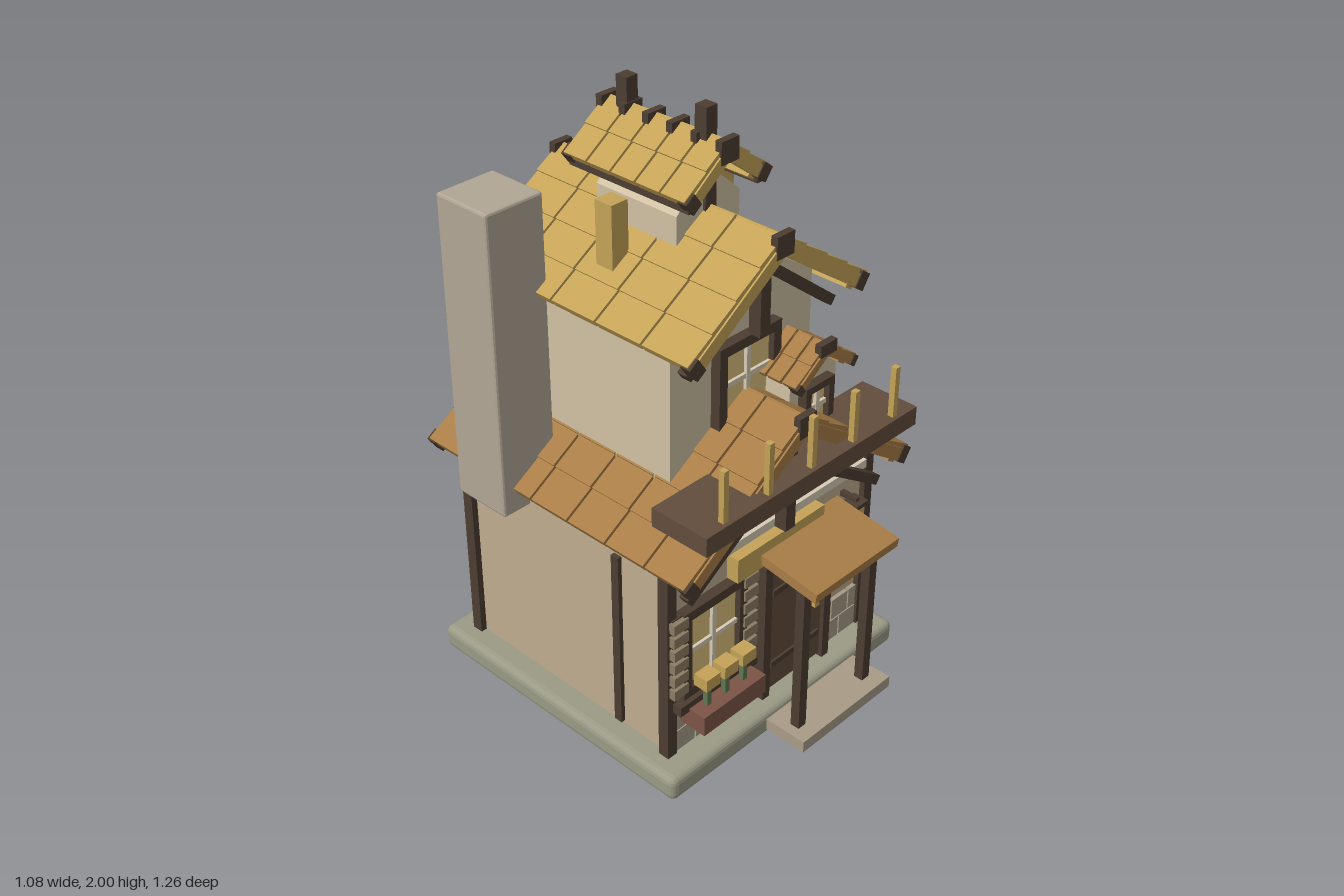
import * as THREE from 'three';
import { RoundedBoxGeometry } from 'three/addons/geometries/RoundedBoxGeometry.js';

const C = {
  stone: 0x9a9a86, block: 0xa89c86, wall: 0xbfac90, plaster: 0xd0c1a4, wood: 0x4c3d31, door: 0x624d3d,
  thatch: 0xc4a257, shingle: 0xa87d47, glass: 0xdcbf7c, pale: 0xd5cbb4, chimney: 0xb1a695, slat: 0x8c7d64,
  pot: 0x7c5546, leaf: 0x5f7650, cap: 0x66706a, seam: 0x7d6136,
};
const mats = {};
const mat = (k) => (mats[k] ??= new THREE.MeshStandardMaterial({ color: C[k], flatShading: true }));

function add(parent, name, geo, color, x = 0, y = 0, z = 0) {
  const m = new THREE.Mesh(geo, mat(color));
  m.name = name;
  m.position.set(x, y, z);
  parent.add(m);
  return m;
}
// Box given by its extents
function box(parent, name, color, x0, x1, y0, y1, z0, z1) {
  return add(parent, name, new THREE.BoxGeometry(x1 - x0, y1 - y0, z1 - z0), color,
    (x0 + x1) / 2, (y0 + y1) / 2, (z0 + z1) / 2);
}
function group(parent, name, x = 0, y = 0, z = 0, ry = 0) {
  const g = new THREE.Group();
  g.name = name;
  g.position.set(x, y, z);
  g.rotation.y = ry;
  parent.add(g);
  return g;
}
// House body: gabled outline pushed along z
function gabled(parent, name, color, hw, y0, eave, apex, z0, z1, x = 0) {
  const s = new THREE.Shape([[-hw, y0], [hw, y0], [hw, eave], [0, apex], [-hw, eave]].map((p) => new THREE.Vector2(...p)));
  return add(parent, name, new THREE.ExtrudeGeometry(s, { depth: z1 - z0, bevelEnabled: false }), color, x, 0, z0);
}
// Two pitched slopes of separate tiles with barge boards, ridge blocks and eave beams
function roof(parent, name, o) {
  const { x = 0, ridge, hw, drop, z0, z1, rows, cols, color, t = 0.045, cap = 0.055, blocks = 2 } = o;
  const g = group(parent, name, x, ridge, (z0 + z1) / 2);
  const L = Math.hypot(hw, drop), D = z1 - z0, a = Math.atan2(drop, hw);
  for (const ry of [0, Math.PI]) {
    const slope = group(group(g, 'roofSide', 0, 0, 0, ry), 'slope');
    slope.rotation.z = -a;
    box(slope, 'underlay', 'seam', 0, L - 0.01, -t, -t * 0.4, -D / 2 + 0.01, D / 2 - 0.01);
    const w = L / rows, d = D / cols;
    for (let r = 0; r < rows; r++) for (let c = 0; c < cols; c++) {
      const tile = box(slope, 'tile', color, r * w, (r + 1) * w + 0.004, -t * 0.6, 0,
        -D / 2 + c * d + 0.004, -D / 2 + (c + 1) * d - 0.004);
      tile.rotation.z = 0.05;
    }
    for (const s of [-1, 1]) {
      const ze = s * (D / 2 - 0.012);
      box(slope, 'bargeBoard', color, 0, L, -t * 1.25, -t * 0.3, ze - 0.014, ze + 0.014);
      box(slope, 'bargeCap', 'wood', L - cap * 0.6, L + 0.008, -t * 1.3, -t * 0.05, ze - 0.018, ze + 0.018);
    }
    box(slope, 'eaveBeam', color, L - 0.045, L - 0.012, -t * 1.5, -t * 0.5, -D / 2 + 0.02, D / 2 - 0.02);
  }
  for (let i = 0; i < blocks; i++) {
    const z = -D / 2 + 0.008 + (D - 0.016) * i / (blocks - 1);
    box(g, 'ridgeBlock', 'wood', -0.036, 0.036, -cap - 0.012, 0.004, z - 0.012, z + 0.012);
  }
  return g;
}
// Open gable truss: two rafters and a king post
function truss(parent, hw, low, apex, z, post) {
  const g = group(parent, 'gableTruss', 0, 0, z);
  const a = Math.atan2(apex - low, hw), L = Math.hypot(hw, apex - low);
  for (const s of [-1, 1]) {
    const b = add(g, 'rafter', new THREE.BoxGeometry(L, 0.033, 0.035), 'wood', s * hw / 2, (low + apex) / 2 - 0.01, 0);
    b.rotation.z = -s * a;
  }
  box(g, 'kingPost', 'wood', -0.021, 0.021, post, apex + 0.02, -0.022, 0.022);
}
// Window facing +z with its back on z = 0
function windowUnit(parent, name, x, y, z, ry, w, h, sill = true, f = 0.033) {
  const g = group(parent, name, x, y, z, ry);
  for (const s of [-1, 1]) {
    box(g, 'jamb', 'wood', s * (w - f) / 2 - f / 2, s * (w - f) / 2 + f / 2, -h / 2, h / 2, 0, 0.035);
    box(g, 'rail', 'wood', -w / 2 + f, w / 2 - f, s * (h - f) / 2 - f / 2, s * (h - f) / 2 + f / 2, 0, 0.035);
  }
  box(g, 'pane', 'glass', -w / 2 + f, w / 2 - f, -h / 2 + f, h / 2 - f, 0, 0.014);
  box(g, 'mullion', 'pale', -0.008, 0.008, -h / 2 + f, h / 2 - f, 0, 0.026);
  box(g, 'transom', 'pale', -w / 2 + f, w / 2 - f, -0.008, 0.008, 0, 0.024);
  if (sill) box(g, 'sill', 'wood', -w / 2 - 0.034, w / 2 + 0.034, -h / 2 - 0.034, -h / 2, -0.005, 0.052);
  return g;
}
// Rows of stone blocks, alternate rows shifted
function stones(parent, x0, x1, z, n) {
  const g = group(parent, 'stoneCourse');
  const w = (x1 - x0) / n;
  for (let r = 0; r < 2; r++) for (let i = 0; i <= n - 1 + r; i++) {
    const a = Math.max(x0, x0 + (i - r * 0.5) * w), b = Math.min(x1, x0 + (i + 1 - r * 0.5) * w);
    box(g, 'stone', 'block', a + 0.003, b - 0.003, 0.09 + r * 0.083, 0.168 + r * 0.083, z - 0.014, z + 0.014);
  }
}

export function createModel() {
  const root = new THREE.Group();
  root.name = 'cottage';
  const h = group(root, 'house', 0.004);

  // Foundation and step
  add(h, 'foundation', new RoundedBoxGeometry(1.065, 0.088, 1.07, 2, 0.025), 'stone', 0, 0.044, -0.063);
  box(h, 'doorStep', 'block', -0.108, 0.32, 0.024, 0.065, 0.4, 0.625);

  // Lower storey
  gabled(h, 'lowerWalls', 'wall', 0.447, 0.08, 0.79, 1.09, -0.5, 0.37);
  for (const x of [-0.45, 0.45]) for (const z of [-0.5, 0.37])
    box(h, 'cornerPost', 'wood', x - 0.019, x + 0.019, 0.085, 0.79, z - 0.02, z + 0.02);
  box(h, 'sidePost', 'wood', -0.462, -0.44, 0.1, 0.74, 0.15, 0.18);
  box(h, 'frontLedge', 'pale', -0.42, 0.42, 0.735, 0.765, 0.36, 0.4);
  box(h, 'backLedge', 'pale', -0.42, 0.42, 0.735, 0.765, -0.52, -0.49);
  stones(h, -0.43, -0.08, 0.37, 4);
  stones(h, 0.26, 0.43, 0.37, 2);
  stones(h, -0.43, 0.43, -0.5, 7);
  truss(h, 0.43, 0.71, 0.99, 0.425, 0.74);
  truss(h, 0.43, 0.71, 0.99, -0.54, 0.74);
  roof(h, 'lowerRoof', { ridge: 1.165, hw: 0.505, drop: 0.345, z0: -0.622, z1: 0.495, rows: 5, cols: 7, color: 'shingle' });

  // Windows of the lower storey
  windowUnit(h, 'frontWindow', -0.275, 0.46, 0.37, 0, 0.275, 0.325);
  windowUnit(h, 'sideWindow', 0.447, 0.467, -0.18, Math.PI / 2, 0.27, 0.32);
  for (const x of [-0.2, 0.2]) windowUnit(h, 'backWindow', x, 0.5, -0.5, Math.PI, 0.27, 0.31);

  // Slatted shutters
  for (const x of [-0.432, -0.125]) {
    const g = group(h, 'shutter', x, 0.33, 0.39);
    box(g, 'shutterBack', 'wood', -0.022, 0.022, 0, 0.29, -0.015, 0.005);
    for (let i = 0; i < 6; i++) box(g, 'slat', 'slat', -0.03, 0.03, i * 0.05, i * 0.05 + 0.036, 0, 0.022);
  }

  // Flower box
  box(h, 'flowerBox', 'pot', -0.41, -0.135, 0.205, 0.275, 0.385, 0.485);
  for (const x of [-0.355, -0.275, -0.195]) {
    box(h, 'stem', 'leaf', x - 0.009, x + 0.009, 0.27, 0.36, 0.435, 0.453);
    box(h, 'flower', 'thatch', x - 0.03, x + 0.03, 0.352, 0.395, 0.418, 0.47);
  }

  // Door
  const d = group(h, 'door', 0.09, 0, 0.37);
  box(d, 'doorPanel', 'door', -0.13, 0.13, 0.1, 0.595, 0, 0.035);
  for (const s of [-1, 1]) box(d, 'doorJamb', 'wood', s * 0.145 - 0.016, s * 0.145 + 0.016, 0.085, 0.61, 0, 0.05);
  box(d, 'doorHead', 'wood', -0.16, 0.16, 0.59, 0.625, 0, 0.05);
  for (const y of [0.2, 0.485]) box(d, 'strap', 'wood', -0.115, 0.115, y - 0.011, y + 0.011, 0.03, 0.043);
  box(d, 'knob', 'thatch', 0.07, 0.092, 0.334, 0.356, 0.03, 0.06);

  // Porch
  for (const x of [-0.055, 0.26]) box(h, 'porchPost', 'wood', x - 0.017, x + 0.017, 0.06, 0.625, 0.54, 0.573);
  const canopy = box(h, 'canopy', 'shingle', -0.09, 0.3, 0.625, 0.66, 0.38, 0.632);
  canopy.rotation.x = 0.15;
  box(h, 'canopyBeam', 'wood', -0.075, 0.285, 0.595, 0.618, 0.54, 0.573);
  box(h, 'plainBoard', 'thatch', -0.195, 0.2, 0.625, 0.71, 0.37, 0.415);

  // Lantern
  box(h, 'lantern', 'thatch', 0.32, 0.362, 0.585, 0.645, 0.405, 0.447);
  box(h, 'lanternCap', 'wood', 0.312, 0.37, 0.645, 0.66, 0.397, 0.455);
  box(h, 'lanternBase', 'wood', 0.316, 0.366, 0.573, 0.585, 0.401, 0.451);
  box(h, 'lanternArm', 'wood', 0.332, 0.35, 0.655, 0.672, 0.36, 0.435);

  // Balcony shelf with stakes
  box(h, 'balcony', 'door', -0.467, 0.467, 0.938, 1.002, 0.328, 0.54);
  for (let i = -2; i <= 2; i++) box(h, 'stake', 'thatch', i * 0.188 - 0.01, i * 0.188 + 0.01, 1, 1.175, 0.507, 0.527);

  // Upper storey
  gabled(h, 'upperWalls', 'plaster', 0.302, 0.88, 1.43, 1.63, -0.36, 0.24);
  windowUnit(h, 'upperWindow', 0, 1.205, 0.24, 0, 0.265, 0.28, false);
  truss(h, 0.31, 1.36, 1.6, 0.303, 1.36);
  truss(h, 0.31, 1.36, 1.6, -0.485, 1.36);
  roof(h, 'upperRoof', { ridge: 1.705, hw: 0.378, drop: 0.26, z0: -0.52, z1: 0.388, rows: 4, cols: 5, color: 'thatch' });
  for (const s of [-1, 1]) box(h, 'roofStub', 'thatch', s * 0.22 - 0.032, s * 0.22 + 0.032, 1.53, 1.737, -0.1, -0.033);

  // Dormer
  gabled(h, 'dormerWalls', 'plaster', 0.105, 0.9, 1.165, 1.235, 0.15, 0.348, 0.197);
  windowUnit(h, 'dormerWindow', 0.197, 1.055, 0.345, 0, 0.13, 0.17, false, 0.024);
  roof(h, 'dormerRoof', { x: 0.197, ridge: 1.283, hw: 0.135, drop: 0.095, z0: 0.105, z1: 0.4, rows: 2, cols: 5, color: 'shingle', t: 0.028, cap: 0.025 });

  // Roof lantern on the ridge
  gabled(h, 'lanternWalls', 'plaster', 0.13, 1.6, 1.705, 1.82, -0.22, 0.1);
  for (const z of [0.088, -0.222]) box(h, 'ridgePost', 'wood', -0.022, 0.022, 1.66, 2, z - 0.022, z + 0.022);
  roof(h, 'topRoof', { ridge: 1.92, hw: 0.172, drop: 0.13, z0: -0.31, z1: 0.177, rows: 2, cols: 5, color: 'thatch', t: 0.04, blocks: 6 });
  for (const s of [-1, 1]) box(h, 'topPurlin', 'wood', s * 0.14 - 0.016, s * 0.14 + 0.016, 1.745, 1.775, -0.305, 0.172);

  // Chimney and its stone brackets
  add(h, 'chimney', new RoundedBoxGeometry(0.212, 1.02, 0.212, 1, 0.008), 'chimney', -0.444, 1.24, -0.325);
  for (const y of [1.07, 1.145, 1.222]) box(h, 'chimneyBracket', 'cap', -0.345, -0.296, y - 0.026, y + 0.026, -0.405, -0.34);
  return root;
}
